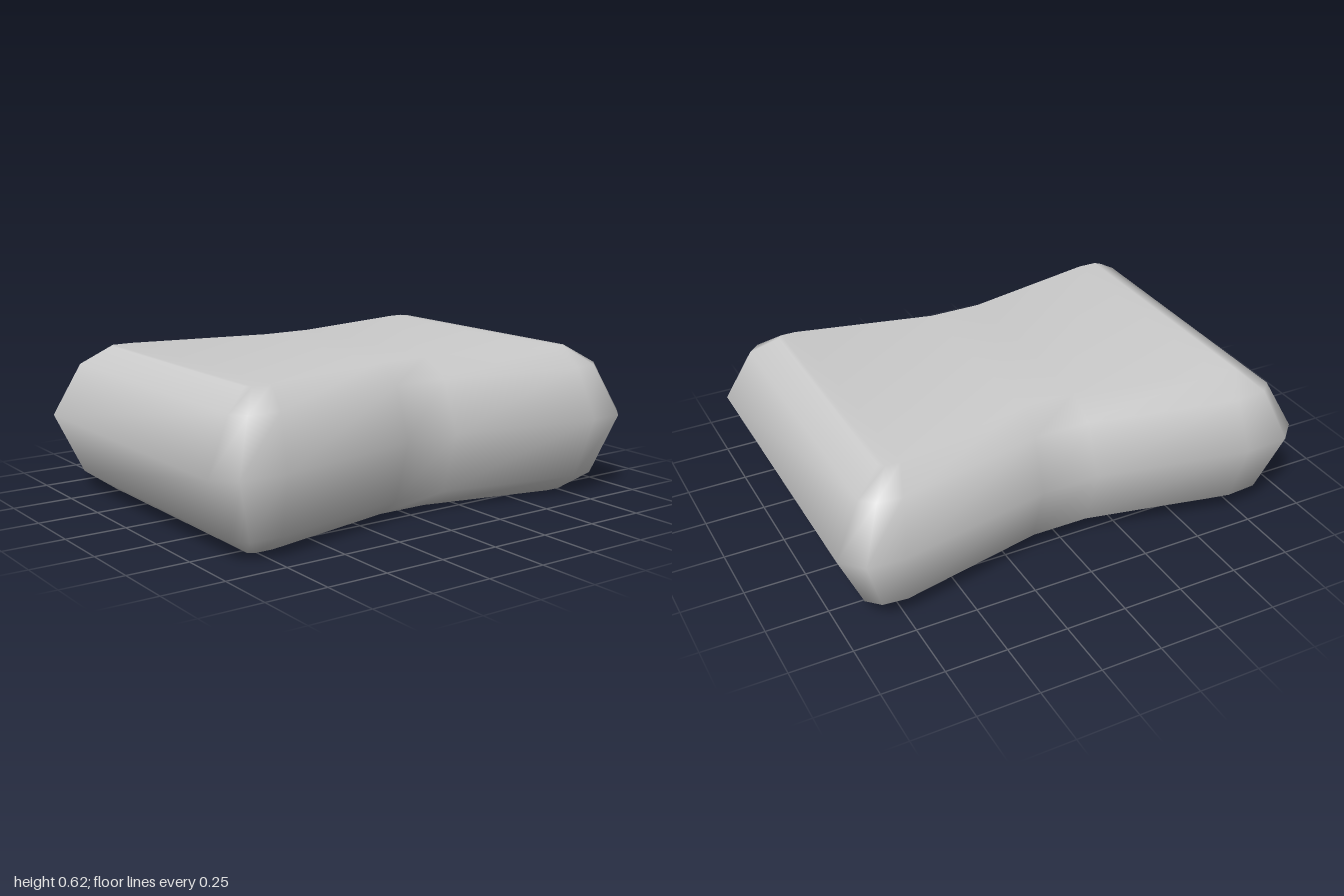
import * as THREE from 'three';

// Half outlines (+x side, front to back) as [x, z], from widest to the flat faces
const rim = [[0.64, 1], [0.72, 0.92], [0.73, 0.73], [0.605, 0.1], [0.605, -0.14], [0.735, -0.77], [0.725, -0.92], [0.64, -1]];
const shoulder = [[0.6, 0.89], [0.65, 0.84], [0.66, 0.71], [0.53, 0.1], [0.53, -0.14], [0.66, -0.74], [0.65, -0.84], [0.6, -0.89]];
const flat = [[0.53, 0.78], [0.55, 0.76], [0.55, 0.68], [0.42, 0.09], [0.42, -0.13], [0.55, -0.7], [0.55, -0.76], [0.53, -0.78]];

// Rings stacked from the bottom face to the top face
const levels = [[0, flat], [0.08, shoulder], [0.33, rim], [0.54, shoulder], [0.615, flat]];

function pillowGeometry() {
  const positions = [];
  const index = [];
  const half = rim.length;
  const n = half * 2;

  // Full ring: the +x side, then its mirror image
  for (const [y, side] of levels) {
    for (const [x, z] of side) positions.push(x, y, z);
    for (const [x, z] of [...side].reverse()) positions.push(-x, y, z);
  }

  // Walls between neighbouring rings
  for (let r = 0; r < levels.length - 1; r++) {
    for (let i = 0; i < n; i++) {
      const j = (i + 1) % n;
      const a = r * n + i, b = r * n + j;
      index.push(a, b, b + n, a, b + n, a + n);
    }
  }

  // Flat bottom and top, as strips across the mirror plane
  const top = (levels.length - 1) * n;
  for (let i = 0; i < half - 1; i++) {
    const a = i, b = i + 1, c = n - 2 - i, d = n - 1 - i;
    index.push(top + a, top + b, top + c, top + a, top + c, top + d);
    index.push(a, c, b, a, d, c);
  }

  const geometry = new THREE.BufferGeometry();
  geometry.setAttribute('position', new THREE.Float32BufferAttribute(positions, 3));
  geometry.setIndex(index);
  geometry.computeVertexNormals();
  return geometry;
}

export function createModel() {
  const group = new THREE.Group();
  const body = new THREE.Mesh(pillowGeometry(), new THREE.MeshStandardMaterial({ color: 0xcccccc }));
  body.name = 'waistedBody';
  group.add(body);
  return group;
}
